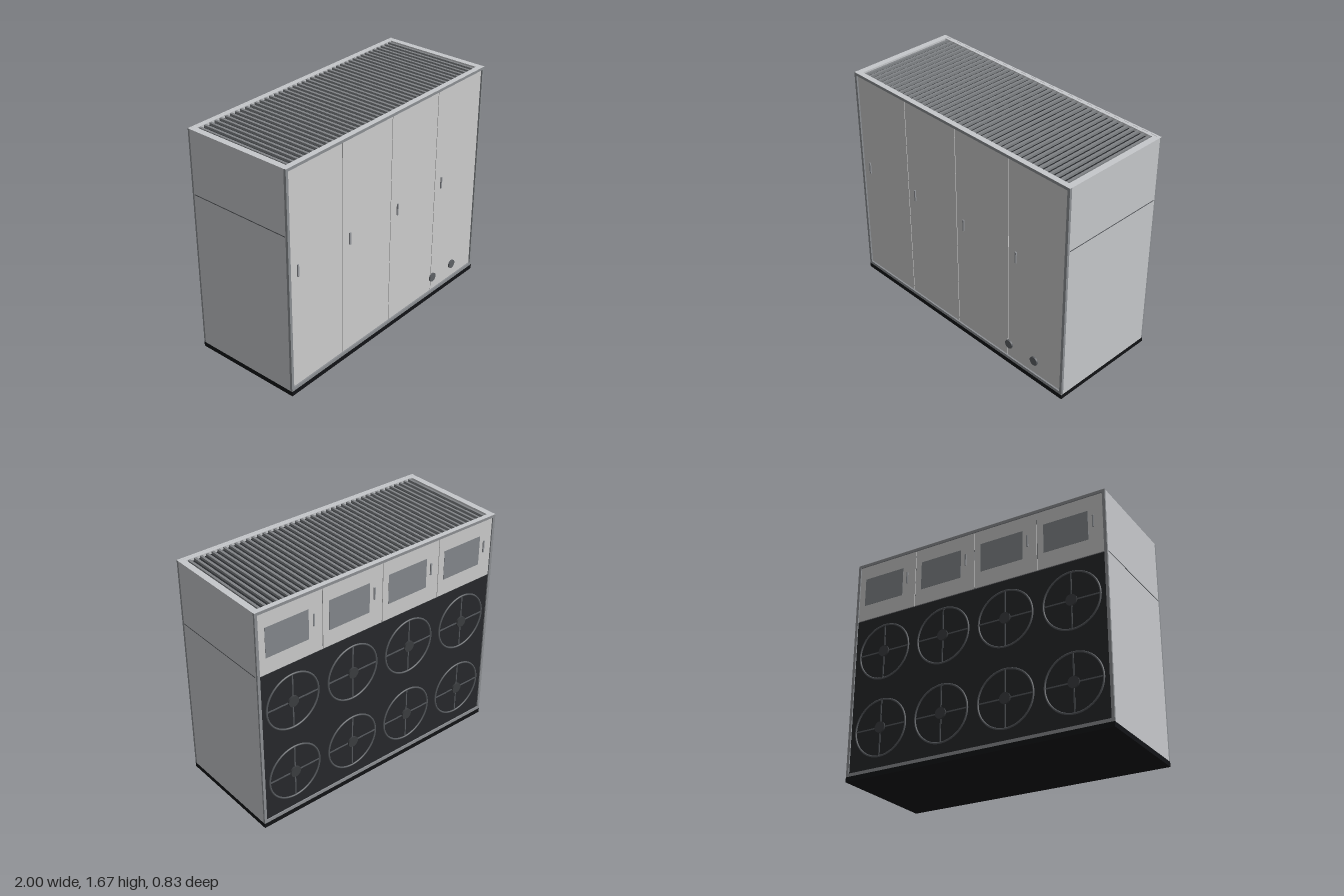
import * as THREE from 'three';

const mat = (color) => new THREE.MeshStandardMaterial({ color });
const M = {
  shell: mat(0xc6c8cb), trim: mat(0x8c8f93), panel: mat(0xcccccc), base: mat(0x121316),
  dark: mat(0x26282b), slat: mat(0x808386), seam: mat(0x55585c), pane: mat(0x83878b),
  metal: mat(0x95989c), knob: mat(0x5e6165), ring: mat(0x54575b), hub: mat(0x3b3d40),
};
const H = 1.665, BASE = 0.035, FRONT = 0.416, BACK = -0.412;
const COLS = [-0.735, -0.245, 0.245, 0.735];

function add(parent, name, geometry, material, x = 0, y = 0, z = 0) {
  const mesh = new THREE.Mesh(geometry, material);
  mesh.name = name;
  mesh.position.set(x, y, z);
  parent.add(mesh);
  return mesh;
}

// Box given by its min and max corners
function box(parent, name, material, [x0, y0, z0], [x1, y1, z1]) {
  return add(parent, name, new THREE.BoxGeometry(x1 - x0, y1 - y0, z1 - z0), material,
    (x0 + x1) / 2, (y0 + y1) / 2, (z0 + z1) / 2);
}

// Flat rectangular frame in the xy plane, extruded along +z
function frameGeometry(x0, y0, x1, y1, ix0, iy0, ix1, iy1, depth) {
  const corners = (a, b, c, d) => [[a, b], [c, b], [c, d], [a, d]].map((p) => new THREE.Vector2(...p));
  const shape = new THREE.Shape(corners(x0, y0, x1, y1));
  shape.holes.push(new THREE.Path(corners(ix0, iy0, ix1, iy1).reverse()));
  return new THREE.ExtrudeGeometry(shape, { depth, bevelEnabled: false });
}

// Disc whose axis points along z
function disc(parent, name, material, radius, depth, x, y, z) {
  const geometry = new THREE.CylinderGeometry(radius, radius, depth, 32).rotateX(Math.PI / 2);
  return add(parent, name, geometry, material, x, y, z);
}

function createFan() {
  const fan = new THREE.Group();
  fan.name = 'fan';
  add(fan, 'fanRing', new THREE.TorusGeometry(0.205, 0.007, 8, 48), M.ring);
  for (const angle of [0, Math.PI / 2]) {
    add(fan, 'fanSpoke', new THREE.BoxGeometry(0.41, 0.009, 0.007), M.ring).rotation.z = angle;
  }
  disc(fan, 'fanHub', M.hub, 0.04, 0.02, 0, 0, -0.002);
  return fan;
}

export function createModel() {
  const model = new THREE.Group();
  model.name = 'coolingCabinet';

  // Plinth and cabinet shell
  box(model, 'base', M.base, [-1, 0, BACK], [1, BASE, FRONT]);
  box(model, 'cabinetBody', M.shell, [-1, BASE, -0.398], [1, H - 0.025, 0.398]);

  // Trim frames round the front and back openings
  const frame = (depth) => frameGeometry(-1, BASE, 1, H, -0.98, 0.058, 0.98, 1.645, depth);
  add(model, 'frontFrame', frame(0.018), M.trim, 0, 0, 0.398);
  add(model, 'backFrame', frame(0.014), M.trim, 0, 0, BACK);

  // Top rim with its vent slats
  const rim = frameGeometry(-1, -0.398, 1, 0.398, -0.955, -0.376, 0.955, 0.376, 0.025).rotateX(-Math.PI / 2);
  add(model, 'topRim', rim, M.shell, 0, H - 0.025, 0);
  for (const [z0, z1] of [[0.398, FRONT], [BACK, -0.398]]) {
    box(model, 'topRimEdge', M.shell, [-1, H - 0.001, z0], [1, H + 0.001, z1]);
  }
  box(model, 'ventBed', M.dark, [-0.955, H - 0.03, -0.376], [0.955, H - 0.02, 0.376]);
  const slats = 43, pitch = 1.91 / slats;
  for (let i = 0; i < slats; i++) {
    const x = -0.955 + (i + 0.5) * pitch;
    box(model, 'ventSlat', M.slat, [x - 0.009, H - 0.021, -0.376], [x + 0.009, H - 0.004, 0.376]);
  }

  // Side seams
  for (const s of [-1, 1]) {
    add(model, 'sideSeam', new THREE.BoxGeometry(0.004, 0.006, 0.785), M.seam, s * 0.9995, 1.204, 0.002);
  }

  // Front panels with pull handles, separated by narrow seams
  box(model, 'frontSeams', M.seam, [-0.98, 0.058, 0.396], [0.98, 1.645, 0.4]);
  for (const x of COLS) {
    box(model, 'frontPanel', M.panel, [x - 0.2425, 0.06, 0.39], [x + 0.2425, 1.643, 0.406]);
    box(model, 'frontHandle', M.metal, [x - 0.181, 0.885, 0.405], [x - 0.17, 0.972, 0.415]);
  }

  // Pipe connections low on the front
  for (const x of [0.505, 0.74]) disc(model, 'pipeConnection', M.knob, 0.033, 0.02, x, 0.165, 0.407);

  // Back: upper doors with windows and handles
  box(model, 'backSeams', M.seam, [-0.98, 1.195, -0.4], [0.98, 1.645, -0.396]);
  for (const x of COLS) {
    box(model, 'backDoor', M.panel, [x - 0.2425, 1.205, -0.406], [x + 0.2425, 1.643, -0.39]);
    box(model, 'doorWindow', M.pane, [x - 0.135, 1.322, -0.408], [x + 0.195, 1.538, -0.4]);
    box(model, 'doorHandle', M.metal, [x - 0.179, 1.405, -0.414], [x - 0.168, 1.492, -0.405]);
  }

  // Back: fan wall with two rows of fans
  box(model, 'fanWall', M.dark, [-0.98, 0.058, -0.404], [0.98, 1.198, -0.39]);
  for (const y of [0.345, 0.915]) {
    for (const x of COLS) {
      const fan = createFan();
      fan.position.set(x, y, -0.405);
      model.add(fan);
    }
  }
  return model;
}
